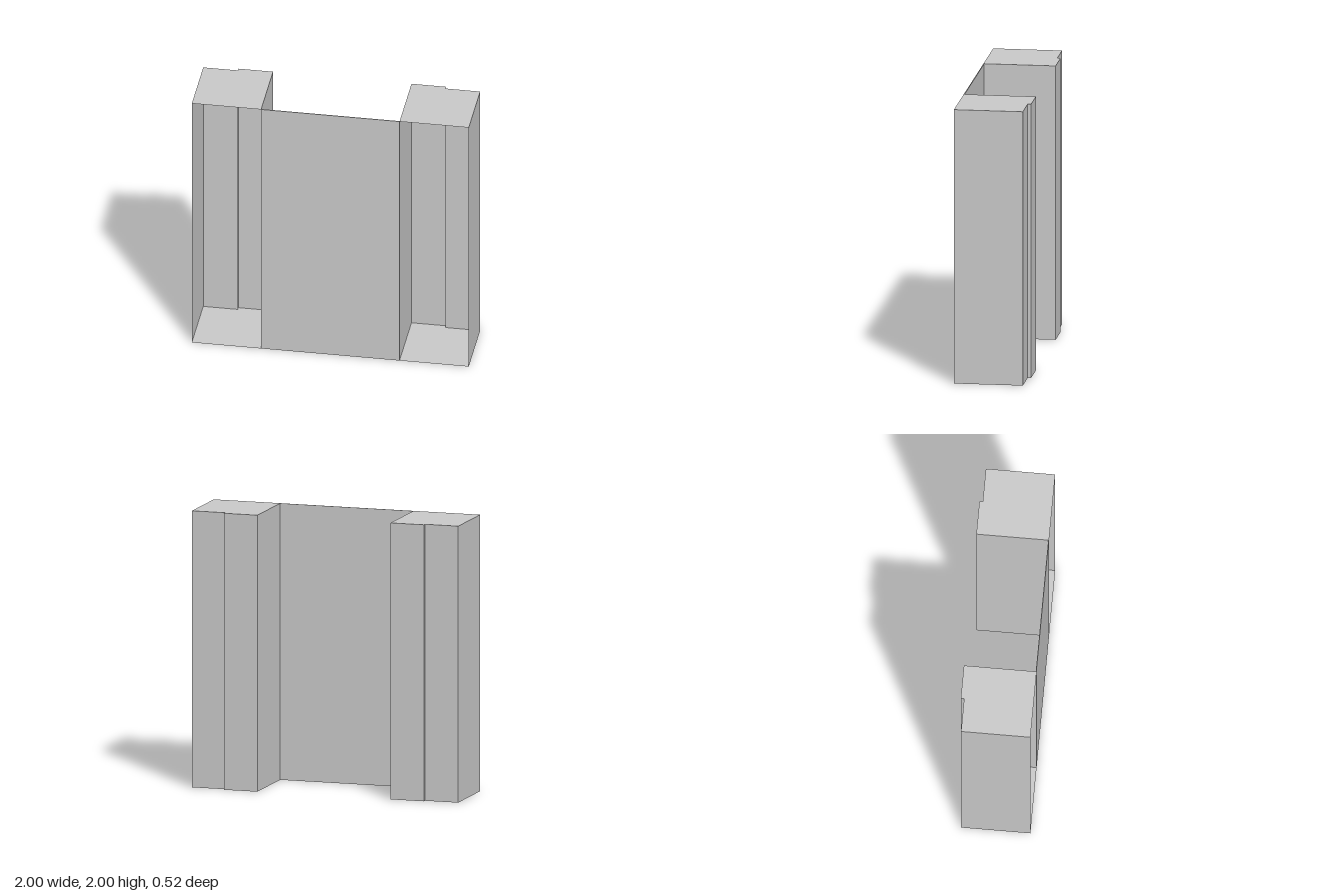
import * as THREE from 'three';
import { mergeGeometries } from 'three/addons/utils/BufferGeometryUtils.js';

const HEIGHT = 2, FRONT = 0.26, BACK = -0.26, STEP = -0.236;
const material = new THREE.MeshStandardMaterial({ color: 0xcccccc, side: THREE.DoubleSide, flatShading: true });

// Upright wall from plan point a to b, facing right of the direction of travel
function wall([ax, az], [bx, bz]) {
  const dx = bx - ax, dz = bz - az;
  return new THREE.PlaneGeometry(Math.hypot(dx, dz), HEIGHT)
    .rotateY(Math.atan2(-dz, dx))
    .translate((ax + bx) / 2, HEIGHT / 2, (az + bz) / 2);
}

// Hollow pier, open at the front, with a shallow step in its back
function pier(side) {
  const plan = [[0.5, FRONT], [0.5, BACK], [0.75, BACK], [0.75, STEP], [1, STEP], [1, FRONT]]
    .map(([x, z]) => [side * x, z]);
  if (side > 0) plan.reverse(); // keeps the walls facing outwards
  const shape = new THREE.Shape(plan.map(([x, z]) => new THREE.Vector2(x, -z)));
  const top = new THREE.ShapeGeometry(shape).rotateX(-Math.PI / 2).translate(0, HEIGHT, 0);
  const bottom = new THREE.ShapeGeometry(new THREE.Shape(plan.map(([x, z]) => new THREE.Vector2(x, z))))
    .rotateX(Math.PI / 2);
  const walls = plan.slice(1).map((p, i) => wall(plan[i], p));
  return new THREE.Mesh(mergeGeometries([top, bottom, ...walls]), material);
}

export function createModel() {
  const model = new THREE.Group();
  model.name = 'wallWithPiers';

  // Piers at either end
  for (const [name, side] of [['leftPier', 1], ['rightPier', -1]]) {
    const mesh = pier(side);
    mesh.name = name;
    model.add(mesh);
  }

  // Thin panel joining the piers, flush with their fronts
  const thickness = 0.006;
  const panel = new THREE.Mesh(new THREE.BoxGeometry(1, HEIGHT, thickness), material);
  panel.name = 'centrePanel';
  panel.position.set(0, HEIGHT / 2, FRONT - thickness / 2);
  model.add(panel);

  return model;
}
